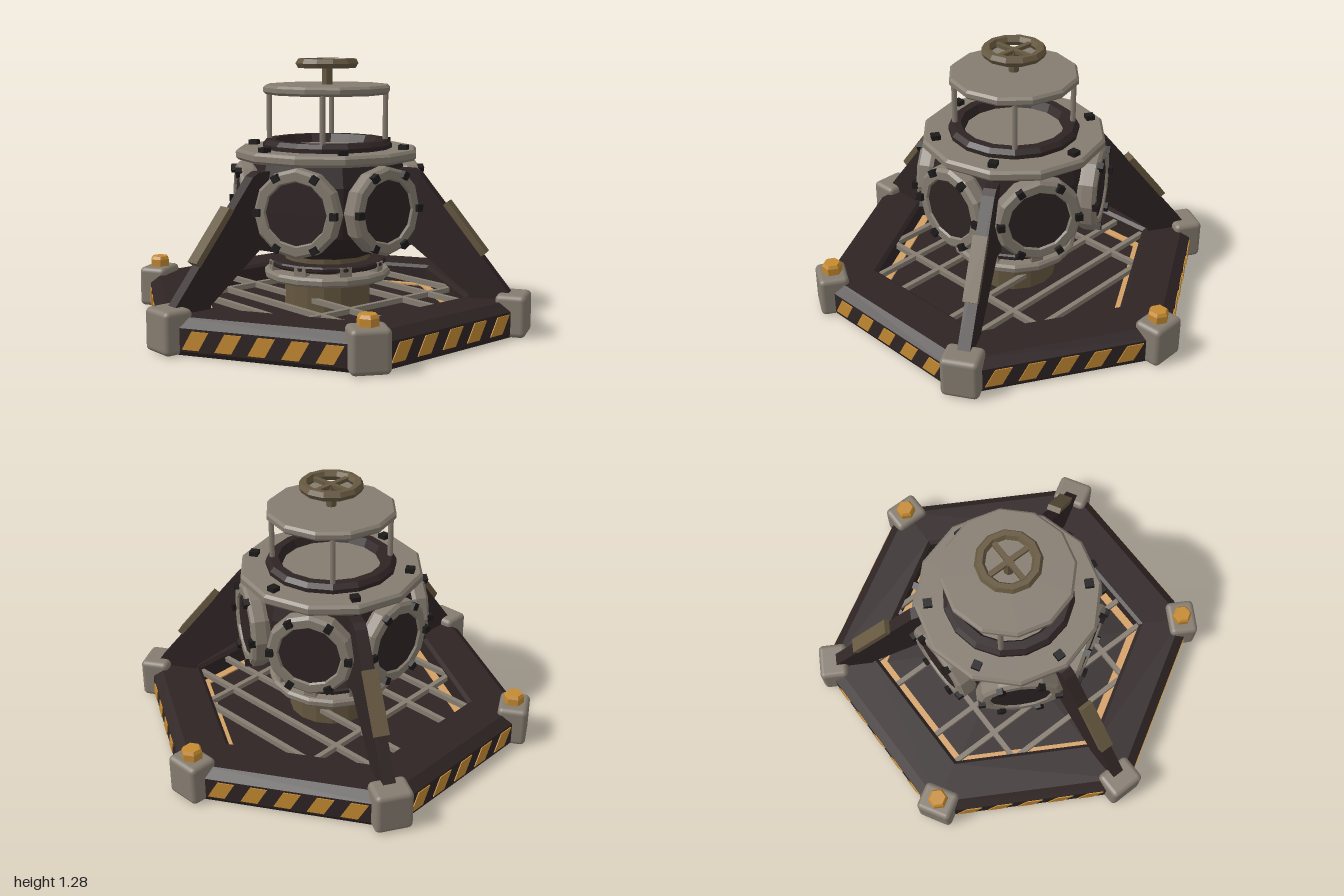
import * as THREE from 'three';
import { RoundedBoxGeometry } from 'three/addons/geometries/RoundedBoxGeometry.js';

const paint = (name, color) => {
  const m = new THREE.MeshStandardMaterial({ color });
  m.name = name;
  return m;
};

export function createModel() {
  const grey = paint('worn grey metal', 0x857c70);
  const dark = paint('dark brown metal', 0x2f2424);
  const black = paint('black bolt', 0x1d1a1a);
  const gold = paint('hazard gold', 0xc48a32);
  const brown = paint('bronze', 0x665840);
  const tan = paint('amber strip', 0xd3a065);

  const model = new THREE.Group();
  model.name = 'airlockStation';

  const add = (parent, name, geo, mat, x = 0, y = 0, z = 0) => {
    const mesh = new THREE.Mesh(geo, mat);
    mesh.name = name;
    mesh.position.set(x, y, z);
    parent.add(mesh);
    return mesh;
  };
  // Faceted normals for the low-poly parts
  const flat = (geo) => {
    const g = geo.index ? geo.toNonIndexed() : geo;
    g.computeVertexNormals();
    return g;
  };
  const lathe = (pts, sides) =>
    flat(new THREE.LatheGeometry(pts.map(([r, y]) => new THREE.Vector2(r, y)), sides));
  // Bevelled disc between two heights
  const disc = (r, y0, y1, b, sides) =>
    lathe([[0, y0], [r - b, y0], [r, y0 + b], [r, y1 - b], [r - b, y1], [0, y1]], sides);
  const cyl = (r0, r1, h, sides) => flat(new THREE.CylinderGeometry(r0, r1, h, sides));
  const box = (w, h, d) => new THREE.BoxGeometry(w, h, d);
  const spoke = (name, angle) => {
    const g = new THREE.Group();
    g.name = name;
    g.rotation.y = angle;
    model.add(g);
    return g;
  };

  // Hexagonal base with a sunken floor
  add(model, 'base', lathe([[0, 0], [0.97, 0], [0.983, 0.02], [0.983, 0.125], [0.93, 0.165],
    [0.72, 0.165], [0.7, 0.15], [0.7, 0.06], [0, 0.06]], 6), dark);
  add(model, 'floorStrip', lathe([[0.7, 0.06], [0.7, 0.068], [0.655, 0.068], [0.655, 0.06]], 6), tan);

  // Floor grating
  for (const s of [-1, 1]) {
    for (const [z, half] of [[0.17, 0.615], [0.345, 0.605], [0.515, 0.37]]) {
      add(model, 'gratingBar', box(half * 2, 0.025, 0.025), grey, 0, 0.13, s * z);
    }
    add(model, 'gratingCrossBar', box(0.025, 0.025, 1.04), grey, s * 0.36, 0.13, 0);
  }

  // Hazard stripes on each side of the base
  const stripe = new THREE.Shape([[0, 0.03], [0.08, 0.03], [0.128, 0.115], [0.048, 0.115]]
    .map(([x, y]) => new THREE.Vector2(x, y)));
  const stripeGeo = new THREE.ExtrudeGeometry(stripe, { depth: 0.008, bevelEnabled: false });

  // Leg and its profile (radius, height)
  const legShape = new THREE.Shape([[0.36, 0.38], [0.44, 0.4], [0.72, 0.18], [0.72, 0.15], [0.935, 0.15],
    [0.91, 0.2], [0.475, 0.745], [0.44, 0.765], [0.36, 0.765]].map(([x, y]) => new THREE.Vector2(x, y)));
  const legGeo = new THREE.ExtrudeGeometry(legShape, { depth: 0.06, bevelEnabled: false });
  legGeo.translate(0, 0, -0.03);
  legGeo.rotateY(-Math.PI / 2);

  // Round port parts, facing +z
  const portRing = lathe([[0.148, 0.34], [0.195, 0.34], [0.21, 0.375], [0.21, 0.425], [0.195, 0.44],
    [0.155, 0.44], [0.148, 0.43], [0.148, 0.34]], 12).rotateX(Math.PI / 2);
  const portPane = cyl(0.152, 0.152, 0.09, 12).rotateX(Math.PI / 2);

  const cornerGeo = new RoundedBoxGeometry(0.18, 0.2, 0.145, 3, 0.025);
  for (let k = 0; k < 6; k++) {
    // Corners: legs alternate with gold bolts
    const corner = spoke('corner', k * Math.PI / 3);
    add(corner, 'cornerBlock', cornerGeo, grey, 0, 0.1, 0.927);
    if (k % 2 === 0) {
      add(corner, 'leg', legGeo, dark);
      add(corner, 'legPlate', box(0.07, 0.03, 0.3), brown, 0, 0.492, 0.695).rotation.x = 0.9;
    } else {
      add(corner, 'cornerBolt', lathe([[0.05, 0.19], [0.05, 0.235], [0.04, 0.25], [0, 0.25]], 6), gold, 0, 0, 0.923);
    }
    add(corner, 'collarBolt', box(0.042, 0.03, 0.042), black, 0, 0.86, 0.385);

    // Sides: stripes below, port above
    const side = spoke('side', (k + 0.5) * Math.PI / 3);
    for (let i = 0; i < 5; i++) {
      add(side, 'hazardStripe', stripeGeo, gold, -0.376 + i * 0.156, 0, 0.848);
    }
    add(side, 'portRing', portRing, grey, 0, 0.585, 0);
    add(side, 'portPane', portPane, dark, 0, 0.585, 0.385);
    for (let i = 0; i < 6; i++) {
      const a = i * Math.PI / 3;
      add(side, 'portBolt', box(0.034, 0.034, 0.03), black,
        0.187 * Math.cos(a), 0.585 + 0.187 * Math.sin(a), 0.444).rotation.z = a;
    }
  }

  // Pedestal with flanges
  add(model, 'pedestal', cyl(0.21, 0.21, 0.32, 16), brown, 0, 0.2, 0);
  add(model, 'lowerFlange', disc(0.31, 0.215, 0.26, 0.012, 16), grey);
  add(model, 'upperFlange', disc(0.29, 0.28, 0.31, 0.008, 16), dark);
  for (let i = 0; i < 8; i++) {
    const a = (i + 0.5) * Math.PI / 4;
    add(model, 'flangeClamp', box(0.06, 0.045, 0.045), grey,
      0.265 * Math.sin(a), 0.285, 0.265 * Math.cos(a)).rotation.y = a;
  }

  // Main chamber
  add(model, 'chamber', lathe([[0, 0.335], [0.22, 0.335], [0.3, 0.375], [0.385, 0.46], [0.4, 0.55],
    [0.4, 0.7], [0.37, 0.81], [0, 0.81]], 12), dark);
  add(model, 'collar', disc(0.447, 0.8, 0.852, 0.013, 12), grey);
  add(model, 'hatchRim', lathe([[0.235, 0.85], [0.315, 0.85], [0.315, 0.872], [0.295, 0.893],
    [0.255, 0.893], [0.235, 0.85]], 16), dark);

  // Raised lid on four posts
  for (const x of [-0.2, 0.2]) {
    for (const z of [-0.2, 0.2]) {
      add(model, 'lidPost', new THREE.CylinderGeometry(0.013, 0.013, 0.28, 8), grey, x, 0.985, z);
    }
  }
  add(model, 'lid', disc(0.312, 1.112, 1.156, 0.012, 12), grey);

  // Handwheel
  add(model, 'wheelStem', cyl(0.025, 0.025, 0.11, 8), brown, 0, 1.205, 0);
  add(model, 'wheelRim', flat(new THREE.TorusGeometry(0.13, 0.025, 6, 12)).rotateX(Math.PI / 2), brown, 0, 1.258, 0);
  add(model, 'wheelSpoke', box(0.25, 0.018, 0.025), brown, 0, 1.258, 0);
  add(model, 'wheelSpoke', box(0.025, 0.018, 0.25), brown, 0, 1.258, 0);

  return model;
}
